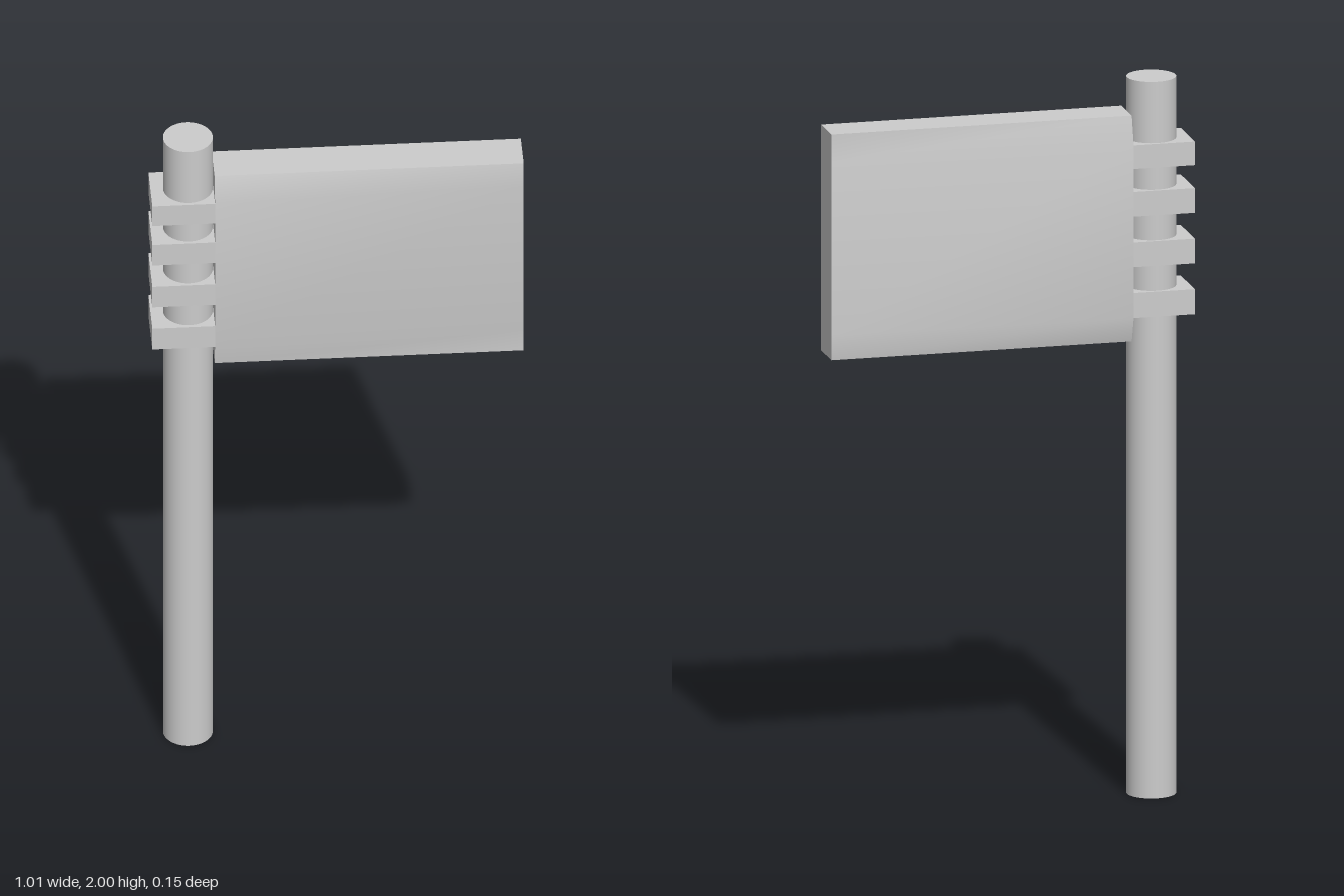
import * as THREE from 'three';
import { toCreasedNormals } from 'three/addons/utils/BufferGeometryUtils.js';

const material = new THREE.MeshStandardMaterial({ color: 0xcccccc });

function addPart(group, name, geometry, x, y, z = 0) {
  const mesh = new THREE.Mesh(geometry, material);
  mesh.name = name;
  mesh.position.set(x, y, z);
  group.add(mesh);
}

// Panel: thick with bevelled shoulders at the hinge side, tapering to a plain slab
function panelGeometry(left, right) {
  const rows = [1.277, 1.347, 1.829, 1.907];
  const geometry = new THREE.BoxGeometry(2, 3, 2, 1, 3, 1);
  const p = geometry.attributes.position;
  for (let i = 0; i < p.count; i++) {
    const row = Math.round(p.getY(i) + 1.5);
    const atHinge = p.getX(i) < 0;
    const thick = atHinge && (row === 1 || row === 2) ? 0.077 : 0.056;
    p.setXYZ(i, atHinge ? left : right, rows[row], Math.sign(p.getZ(i)) * thick);
  }
  return toCreasedNormals(geometry, 0.5);
}

export function createModel() {
  const group = new THREE.Group();
  group.name = 'flagSign';
  const hingeX = -0.333, endX = 0.504;

  // Round post
  addPart(group, 'post', new THREE.CylinderGeometry(0.068, 0.068, 2, 48), -0.402, 1);

  // Flag panel
  addPart(group, 'panel', panelGeometry(hingeX, endX), 0, 0);

  // Square clasps around the post
  const width = hingeX + endX;
  for (const [bottom, top] of [[1.347, 1.417], [1.489, 1.558], [1.63, 1.699], [1.763, 1.829]]) {
    addPart(group, 'clasp', new THREE.BoxGeometry(width, top - bottom, 0.154),
      hingeX - width / 2, (bottom + top) / 2);
  }
  return group;
}
